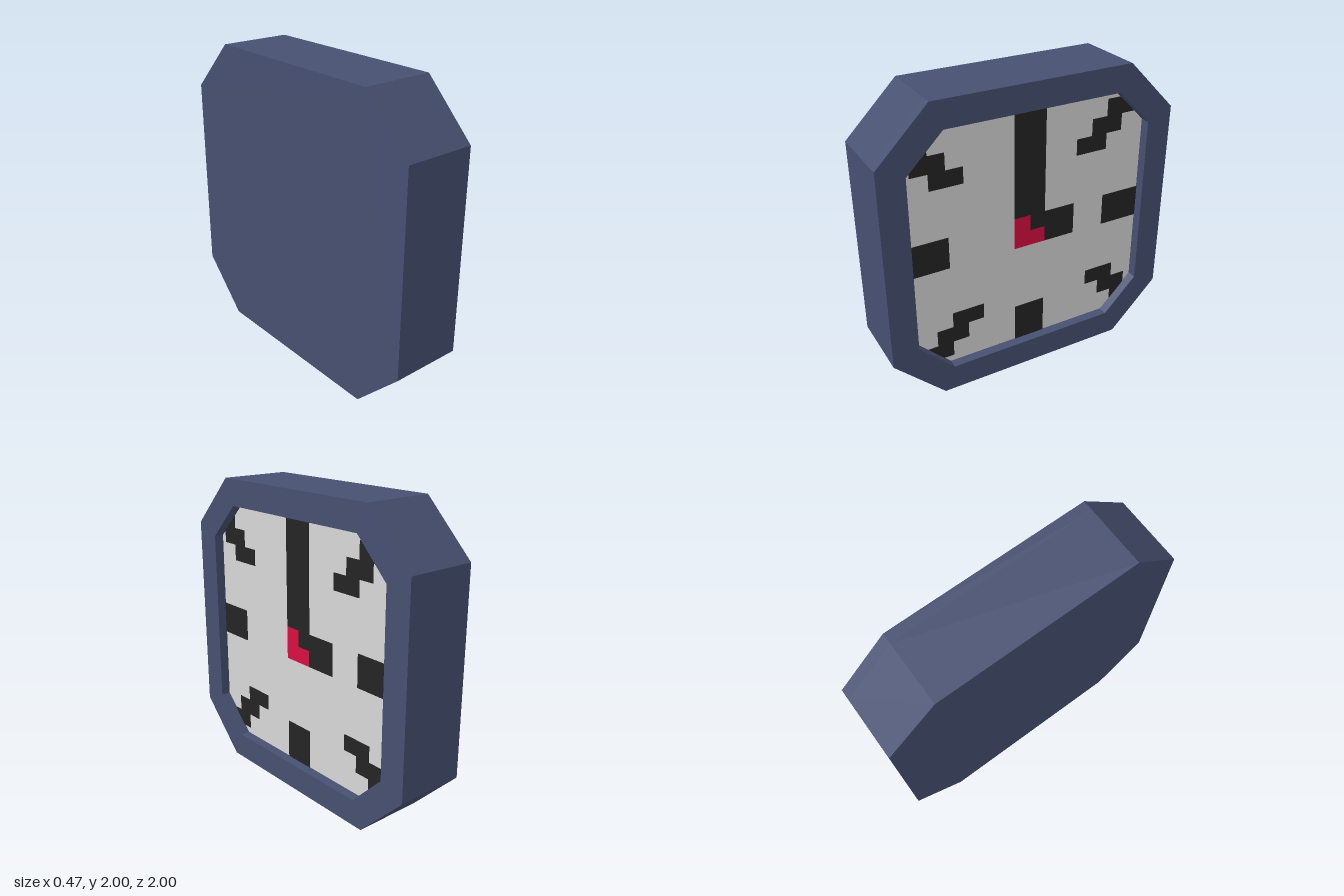
import * as THREE from 'three';
import { mergeGeometries } from 'three/addons/utils/BufferGeometryUtils.js';

const DEPTH = 0.475, RECESS = 0.065;
const BACK = -DEPTH / 2, FRONT = DEPTH / 2, DIAL = FRONT - RECESS;

const mat = (name, color) => {
  const m = new THREE.MeshStandardMaterial({ color });
  m.name = name;
  return m;
};

// Square of half-size r with its corners cut off, centred on (0, 1)
function octagon(r, flat, Path = THREE.Shape) {
  const pts = [[r, flat], [flat, r], [-flat, r], [-r, flat], [-r, -flat], [-flat, -r], [flat, -r], [r, -flat]];
  return new Path(pts.map(([u, v]) => new THREE.Vector2(u, v + 1)));
}

// Flat shape extruded between two depths
function slab(shape, from, to) {
  return new THREE.ExtrudeGeometry(shape, { depth: to - from, bevelEnabled: false }).translate(0, 0, from);
}

// Thin painted rectangles [u0, u1, y0, y1] lying on the dial
function plates(rects) {
  return mergeGeometries(rects.map(([u0, u1, y0, y1]) =>
    new THREE.BoxGeometry(u1 - u0, y1 - y0, 0.004).translate((u0 + u1) / 2, (y0 + y1) / 2, DIAL + 0.002)));
}

export function createModel() {
  const blue = mat('slate blue', 0x475071);
  const pale = mat('pale grey', 0xd8d8d8);
  const black = mat('black', 0x242424);
  const red = mat('red', 0xd80f40);

  const clock = new THREE.Group();
  clock.name = 'wallClock';
  const add = (name, geometry, material) => {
    const mesh = new THREE.Mesh(geometry, material);
    mesh.name = name;
    clock.add(mesh);
  };

  // Case and raised rim around the dial
  add('case', slab(octagon(1, 0.665), BACK, DIAL - 0.004), blue);
  const ring = octagon(1, 0.665);
  ring.holes.push(octagon(0.825, 0.59, THREE.Path));
  add('rim', slab(ring, DIAL - 0.004, FRONT), blue);
  add('dial', slab(octagon(0.825, 0.59), DIAL - 0.004, DIAL), pale);

  // Quarter marks
  add('quarterMarks', plates([
    [-0.84, -0.565, 0.89, 1.105],
    [0.55, 0.84, 0.89, 1.105],
    [-0.112, 0.105, 0.16, 0.438],
  ]), black);

  // Stepped diagonal marks; their outer ends run under the rim
  add('cornerMarks', plates([
    [-0.785, -0.672, 1.66, 1.773], [-0.785, -0.565, 1.548, 1.66], [-0.672, -0.453, 1.44, 1.548],
    [0.55, 0.77, 1.66, 1.773], [0.442, 0.66, 1.548, 1.66], [0.332, 0.55, 1.44, 1.548],
    [-0.56, -0.342, 0.439, 0.546], [-0.672, -0.453, 0.327, 0.439], [-0.785, -0.565, 0.22, 0.327],
    [0.442, 0.66, 0.439, 0.546], [0.55, 0.77, 0.327, 0.439], [0.66, 0.77, 0.22, 0.327],
  ]), black);

  // Hands and the red hub
  add('minuteHand', plates([[-0.112, 0.105, 1.107, 1.84], [0, 0.105, 0.997, 1.107]]), black);
  add('hourHand', plates([[0.105, 0.323, 0.89, 1.105]]), black);
  add('hub', plates([[-0.112, 0, 0.89, 1.107], [0, 0.105, 0.89, 0.997]]), red);

  // Dial looks toward +x
  clock.rotation.y = Math.PI / 2;
  const model = new THREE.Group();
  model.name = 'clock';
  model.add(clock);
  return model;
}
